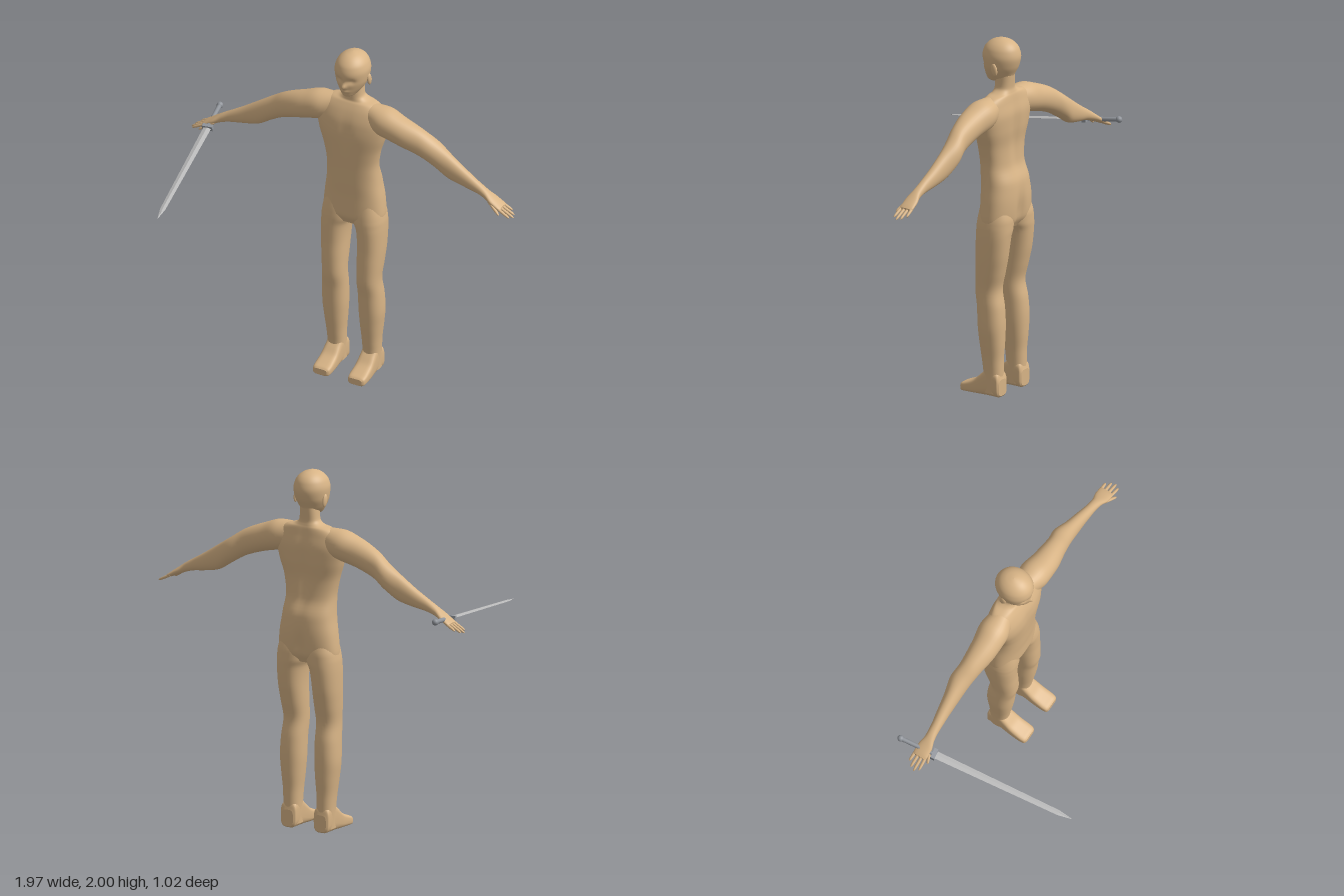
import * as THREE from 'three';

const skin = new THREE.MeshStandardMaterial({ color: 0xd8b486 });
skin.name = 'skin';
const steel = new THREE.MeshStandardMaterial({ color: 0xb8b8b8 });
steel.name = 'blade steel';
const hiltMetal = new THREE.MeshStandardMaterial({ color: 0x8f9399 });
hiltMetal.name = 'hilt metal';

// Smooth, overshoot-free blend through the rows of a ring list
function refine(rings, steps) {
  const n = rings.length, out = [];
  const slope = (i, c) => {
    const d0 = i > 0 ? rings[i][c] - rings[i - 1][c] : null;
    const d1 = i < n - 1 ? rings[i + 1][c] - rings[i][c] : null;
    if (d0 === null) return d1;
    if (d1 === null) return d0;
    return d0 * d1 <= 0 ? 0 : (2 * d0 * d1) / (d0 + d1);
  };
  for (let i = 0; i < n - 1; i++) {
    for (let s = 0; s < steps; s++) {
      const t = s / steps, t2 = t * t, t3 = t2 * t;
      out.push(rings[i].map((p, c) => (2 * t3 - 3 * t2 + 1) * p + (t3 - 2 * t2 + t) * slope(i, c)
        + (3 * t2 - 2 * t3) * rings[i + 1][c] + (t3 - t2) * slope(i + 1, c)));
    }
  }
  out.push(rings[n - 1]);
  return out;
}

// Loft of superellipse rings [t, aLow, aHigh, bLow, bHigh] along an axis;
// (a, b) are the next two axes in the order x, y, z.
function loft(axis, rings, { segs = 32, power = 2, steps = 5, rule = null } = {}) {
  const k = 'xyz'.indexOf(axis), rows = refine(rings, steps), pos = [], index = [];
  const bend = (v) => Math.sign(v) * Math.pow(Math.abs(v), 2 / power);
  const add = (t, a, b) => {
    const p = [0, 0, 0];
    p[k] = t; p[(k + 1) % 3] = a; p[(k + 2) % 3] = b;
    if (rule) rule(p);
    pos.push(...p);
  };
  const ring = ([t, a0, a1, b0, b1]) => {
    for (let j = 0; j < segs; j++) {
      const w = (j / segs) * Math.PI * 2;
      add(t, (a0 + a1) / 2 + bend(Math.cos(w)) * (a1 - a0) / 2, (b0 + b1) / 2 + bend(Math.sin(w)) * (b1 - b0) / 2);
    }
  };
  rows.forEach(ring);
  for (let i = 0; i < rows.length - 1; i++) {
    for (let j = 0; j < segs; j++) {
      const a = i * segs + j, b = i * segs + (j + 1) % segs;
      index.push(a, b, b + segs, a, b + segs, a + segs);
    }
  }
  // flat caps with their own corners
  [rows[0], rows[rows.length - 1]].forEach((r, end) => {
    const base = pos.length / 3;
    ring(r);
    add(r[0], (r[1] + r[2]) / 2, (r[3] + r[4]) / 2);
    for (let j = 0; j < segs; j++) {
      const a = base + j, b = base + (j + 1) % segs;
      index.push(...(end ? [a, b, base + segs] : [b, a, base + segs]));
    }
  });
  const g = new THREE.BufferGeometry();
  g.setAttribute('position', new THREE.Float32BufferAttribute(pos, 3));
  g.setIndex(index);
  g.computeVertexNormals();
  return g;
}

// Mirror across x = 0, keeping faces outward
function mirrored(geometry) {
  const g = geometry.clone().scale(-1, 1, 1), ix = g.index.array;
  for (let i = 0; i < ix.length; i += 3) [ix[i], ix[i + 1]] = [ix[i + 1], ix[i]];
  g.computeVertexNormals();
  return g;
}

const bump = (v, centre, width) => Math.exp(-(((v - centre) / width) ** 2));

export function createModel() {
  const model = new THREE.Group();
  model.name = 'swordsman';
  const add = (parent, name, geometry, material) => {
    const m = new THREE.Mesh(geometry, material);
    m.name = name;
    parent.add(m);
    return m;
  };
  const pair = (name, geometry) => {
    add(model, 'left' + name, geometry, skin);
    add(model, 'right' + name, mirrored(geometry), skin);
  };
  const sym = ([y, back, front, half]) => [y, back, front, -half, half];

  // Torso and neck, with a groove down the spine
  add(model, 'torso', loft('y', [
    [0.94, -0.44, -0.3, 0.165], [1.0, -0.475, -0.275, 0.18], [1.1, -0.482, -0.275, 0.171],
    [1.2, -0.475, -0.27, 0.156], [1.3, -0.442, -0.266, 0.149], [1.4, -0.437, -0.26, 0.164],
    [1.5, -0.447, -0.255, 0.195], [1.58, -0.45, -0.263, 0.21], [1.65, -0.438, -0.287, 0.195],
    [1.69, -0.43, -0.31, 0.14], [1.705, -0.425, -0.32, 0.085], [1.73, -0.42, -0.322, 0.056],
    [1.8, -0.425, -0.325, 0.05],
  ].map(sym), {
    segs: 64, power: 2.4, rule: (p) => {
      const groove = bump(p[0], 0, 0.03) * (0.022 * bump(p[1], 1.02, 0.1) + 0.014 * bump(p[1], 1.45, 0.18));
      if (p[2] < -0.36) p[2] += groove;
      else p[2] -= 0.006 * bump(p[0], 0, 0.03) * bump(p[1], 1.52, 0.1);
    },
  }), skin);

  // Head, with nose, lips, chin and eye sockets raised or sunk from the front
  add(model, 'head', loft('y', [
    [1.752, -0.33, -0.285, 0.02], [1.76, -0.37, -0.266, 0.036], [1.78, -0.415, -0.258, 0.054],
    [1.81, -0.43, -0.254, 0.074], [1.85, -0.449, -0.248, 0.09], [1.9, -0.46, -0.243, 0.096],
    [1.94, -0.452, -0.252, 0.087], [1.97, -0.432, -0.275, 0.067], [1.99, -0.4, -0.308, 0.038],
    [1.998, -0.37, -0.338, 0.014], [2.0, -0.355, -0.353, 0.001],
  ].map(sym), {
    segs: 72, steps: 6, rule: (p) => {
      if (p[2] < -0.33) return;
      const x = Math.abs(p[0]);
      p[2] += 0.02 * bump(x, 0, 0.013) * bump(p[1], 1.828, 0.017);
      p[2] += 0.007 * bump(x, 0, 0.022) * bump(p[1], 1.796, 0.008);
      p[2] -= 0.013 * bump(x, 0.036, 0.022) * bump(p[1], 1.862, 0.016);
    },
  }), skin);

  // Ears
  pair('Ear', new THREE.SphereGeometry(1, 16, 12).scale(0.01, 0.036, 0.019).rotateX(0.2).translate(0.093, 1.842, -0.366));

  // Legs
  pair('Leg', loft('y', [
    [0.02, -0.43, -0.315, 0.058, 0.155], [0.12, -0.428, -0.318, 0.058, 0.156], [0.2, -0.428, -0.31, 0.056, 0.16],
    [0.3, -0.435, -0.297, 0.048, 0.171], [0.4, -0.438, -0.288, 0.042, 0.18], [0.5, -0.432, -0.282, 0.041, 0.177],
    [0.6, -0.416, -0.268, 0.04, 0.171], [0.7, -0.437, -0.27, 0.038, 0.178], [0.8, -0.458, -0.274, 0.036, 0.184],
    [0.9, -0.47, -0.274, 0.027, 0.186], [0.95, -0.474, -0.274, 0.008, 0.185], [1.0, -0.474, -0.278, 0.003, 0.179],
    [1.12, -0.44, -0.3, 0.03, 0.145],
  ], { power: 2.3 }));

  // Feet
  pair('Foot', loft('z', [
    [-0.432, 0.07, 0.143, 0.008, 0.1], [-0.42, 0.058, 0.155, 0, 0.135], [-0.36, 0.058, 0.155, 0, 0.16],
    [-0.315, 0.057, 0.157, 0, 0.125], [-0.27, 0.055, 0.16, 0, 0.085], [-0.22, 0.054, 0.161, 0, 0.062],
    [-0.19, 0.058, 0.157, 0, 0.05], [-0.18, 0.068, 0.146, 0.006, 0.042],
  ], { power: 3.6 }));

  // Arms down to the palms
  pair('Arm', loft('x', [
    [0.1, 1.55, 1.695, -0.42, -0.3], [0.2, 1.525, 1.692, -0.44, -0.272], [0.3, 1.5, 1.66, -0.426, -0.277],
    [0.42, 1.458, 1.609, -0.42, -0.302], [0.5, 1.41, 1.556, -0.432, -0.318], [0.59, 1.356, 1.497, -0.415, -0.329],
    [0.68, 1.336, 1.438, -0.402, -0.334], [0.76, 1.322, 1.39, -0.39, -0.335], [0.81, 1.306, 1.36, -0.388, -0.331],
    [0.86, 1.284, 1.324, -0.4, -0.318], [0.9, 1.268, 1.296, -0.402, -0.318], [0.915, 1.266, 1.284, -0.396, -0.325],
  ].map(([x, lo, hi, back, front]) => [x, lo, hi, back, front]), { power: 2.1 }));

  // Fingers and thumb
  const finger = (x0, y0, z0, x1, y1, z1, r) => loft('x', [[0, 1], [0.6, 0.95], [0.9, 0.7], [1, 0.15]].map(([t, s]) => {
    const x = x0 + (x1 - x0) * t, y = y0 + (y1 - y0) * t, z = z0 + (z1 - z0) * t;
    return [x, y - r * s, y + r * s, z - r * s, z + r * s];
  }), { segs: 10, steps: 3 });
  [0.955, 0.978, 0.987, 0.972].forEach((tip, i) => {
    const z = -0.391 + i * 0.021;
    pair('Finger' + (i + 1), finger(0.89, 1.283, z, tip, 1.283 - (tip - 0.89) * 0.5, z - 0.006 + i * 0.003, 0.0088));
  });
  pair('Thumb', finger(0.84, 1.305, -0.335, 0.92, 1.256, -0.304, 0.011));

  // Sword, built along +z with its guard at the origin
  const sword = new THREE.Group();
  sword.name = 'sword';
  const blade = loft('z', [
    [0, -0.022, 0.022, -0.007, 0.007], [0.74, -0.015, 0.015, -0.005, 0.005], [0.822, -0.001, 0.001, -0.001, 0.001],
  ], { segs: 4, steps: 1 }).toNonIndexed();
  blade.computeVertexNormals();
  add(sword, 'blade', blade, steel);
  add(sword, 'guard', new THREE.BoxGeometry(0.06, 0.026, 0.024), hiltMetal);
  add(sword, 'grip', new THREE.CylinderGeometry(0.011, 0.013, 0.2, 16).rotateX(Math.PI / 2).translate(0, 0, -0.1), hiltMetal);
  add(sword, 'pommel', new THREE.SphereGeometry(0.018, 16, 12).translate(0, 0, -0.2), hiltMetal);
  sword.position.set(-0.861, 1.289, -0.298);
  sword.lookAt(-0.73, 1.19, 0.51);
  model.add(sword);

  return model;
}
